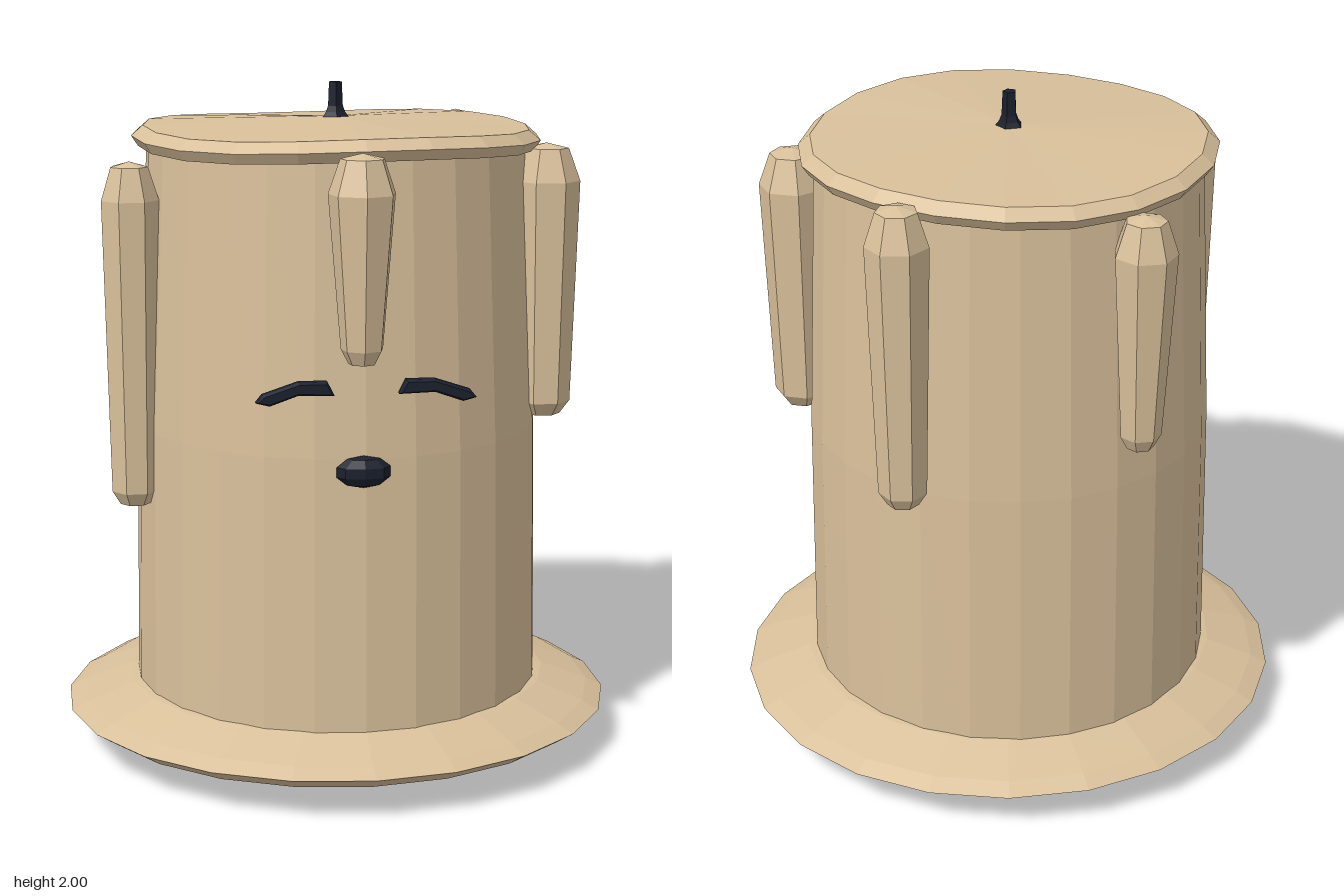
import * as THREE from 'three';

export function createModel() {
  const model = new THREE.Group();
  model.name = 'candle';

  const flat = (name, color) => {
    const m = new THREE.MeshStandardMaterial({ color, flatShading: true });
    m.name = name;
    return m;
  };
  const wax = flat('wax', 0xd9c09b);
  const dark = flat('charcoal', 0x1b202d);

  const add = (name, geometry, material, parent = model) => {
    const mesh = new THREE.Mesh(geometry, material);
    mesh.name = name;
    parent.add(mesh);
    return mesh;
  };
  // Profile of [radius, height] pairs, listed from bottom to top
  const lathe = (profile, sides) =>
    new THREE.LatheGeometry(profile.map(([r, y]) => new THREE.Vector2(r, y)), sides);

  // Pooled wax around the foot, slightly wider than deep
  const base = add('waxPool', lathe([
    [0, 0.005], [0.25, 0.01], [0.58, 0.04], [0.77, 0.09], [0.83, 0.13],
    [0.78, 0.155], [0.64, 0.205], [0.58, 0.215],
  ], 22), wax);
  base.scale.z = 0.96;

  // Tapering candle body
  add('body', lathe([[0.615, 0.18], [0.6, 1.0], [0.56, 1.84]], 26), wax);

  // Melted top lip with a gently raised, uneven centre
  const lip = lathe([
    [0.54, 1.815], [0.585, 1.815], [0.605, 1.845], [0.57, 1.875], [0, 1.9],
  ], 20);
  const p = lip.attributes.position;
  for (let i = 0; i < p.count; i++) {
    const a = Math.atan2(p.getX(i), p.getZ(i));
    const r = Math.hypot(p.getX(i), p.getZ(i));
    if (r > 0.1) p.setY(i, p.getY(i) + 0.008 * Math.sin(a * 3 + 1));
  }
  add('meltedTop', lip, wax);

  // Wax drips: [x, z, bottom, top, upper radius, lower radius]
  const drips = [
    ['frontDrip', -0.015, 0.62, 1.27, 1.85, 0.095, 0.06],
    ['rightDrip', -0.62, 0.16, 0.78, 1.79, 0.085, 0.07],
    ['leftDrip', 0.595, 0.18, 1.02, 1.83, 0.1, 0.083],
    ['backLeftDrip', 0.45, -0.46, 0.98, 1.88, 0.09, 0.07],
    ['backDrip', -0.2, -0.6, 1.13, 1.83, 0.09, 0.06],
  ];
  for (const [name, x, z, bottom, top, ru, rl] of drips) {
    const drip = add(name, lathe([
      [0, bottom], [rl * 0.65, bottom + 0.005], [rl, bottom + 0.045],
      [ru, top - 0.11], [ru * 0.65, top - 0.015], [0, top],
    ], 7), wax);
    drip.position.set(x, 0, z);
    drip.rotation.y = Math.atan2(x, z);
  }

  // Sleepy eyes: short tapered arcs, mirrored
  for (const side of [1, -1]) {
    const s = new THREE.Shape();
    s.moveTo(0.09, 1.185);
    s.lineTo(0.11, 1.225);
    s.lineTo(0.19, 1.225);
    s.lineTo(0.29, 1.192);
    s.lineTo(0.308, 1.17);
    s.lineTo(0.27, 1.16);
    s.lineTo(0.19, 1.188);
    const eye = new THREE.ExtrudeGeometry(s, {
      depth: 0.02, bevelEnabled: true, bevelThickness: 0.01, bevelSize: 0.006,
      bevelOffset: -0.006, bevelSegments: 1,
    });
    const pivot = new THREE.Group();
    pivot.name = side > 0 ? 'leftEye' : 'rightEye';
    pivot.scale.x = side;
    pivot.position.z = 0.588;
    add('eyelid', eye, dark, pivot);
    model.add(pivot);
  }

  // Small open mouth
  const mouth = add('mouth', new THREE.SphereGeometry(1, 8, 5), dark);
  mouth.scale.set(0.08, 0.046, 0.036);
  mouth.position.set(-0.008, 0.966, 0.602);

  // Wick with a flared foot
  const wick = add('wick', lathe([
    [0.05, 1.885], [0.03, 1.912], [0.023, 1.93], [0.02, 2.0], [0, 2.0],
  ], 5), dark);
  wick.position.x = -0.003;

  return model;
}
